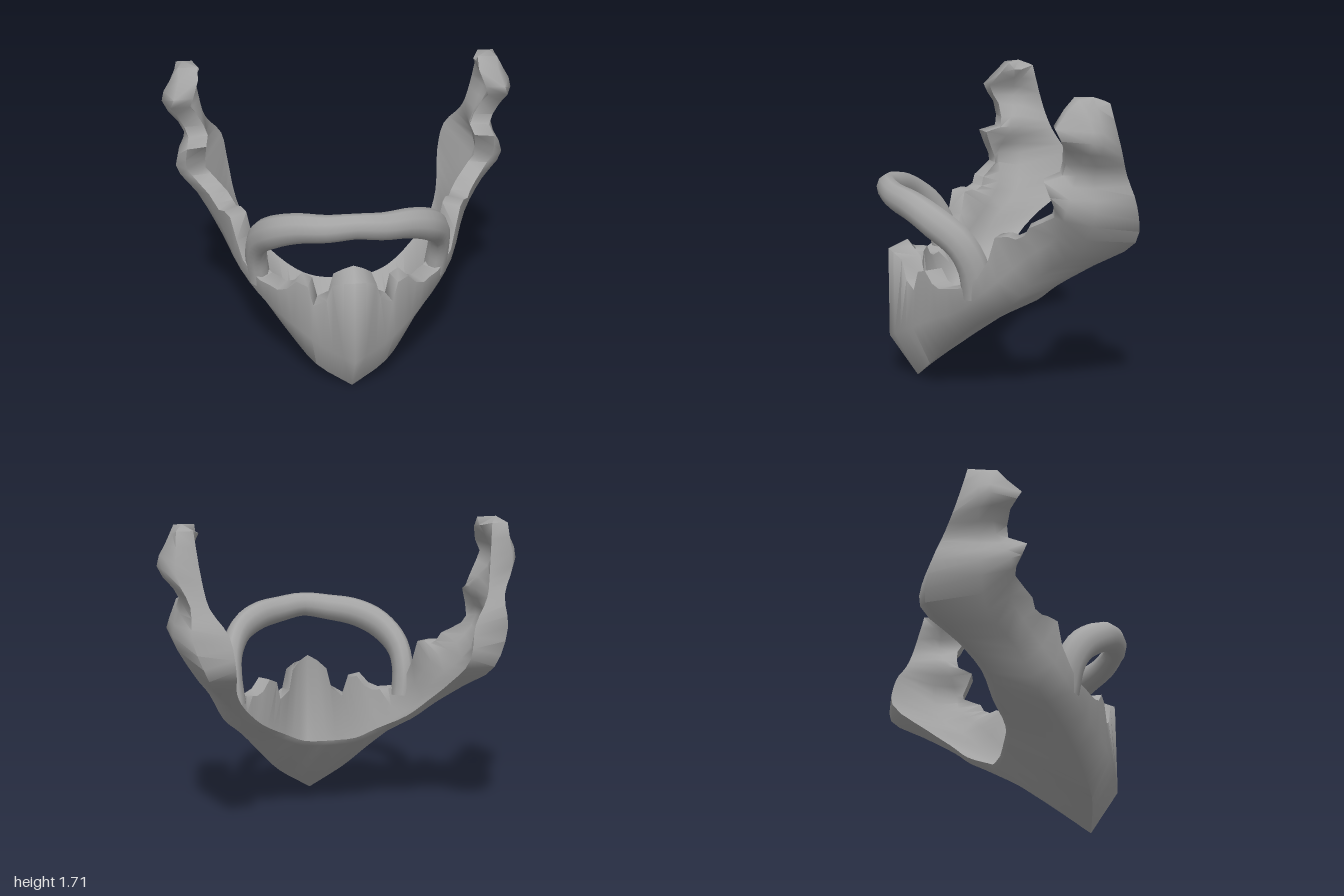
import * as THREE from 'three';
import { toCreasedNormals } from 'three/addons/utils/BufferGeometryUtils.js';

const V = (a) => new THREE.Vector3(...a);
const rail = (pts) => new THREE.CatmullRomCurve3(pts.map(V));

// Jagged upper rim, from the middle of the chin up to the top of the sideburn
const RIM = [
  [0, .76, .59], [.06, .75, .57], [.12, .72, .53], [.15, .61, .51], [.22, .57, .48], [.25, .68, .46],
  [.31, .70, .43], [.36, .64, .40], [.41, .62, .37], [.45, .63, .33], [.50, .64, .29], [.54, .66, .24],
  [.59, .72, .19], [.62, .82, .14], [.65, .95, .11], [.68, .96, .05], [.71, .95, .01], [.73, .97, -.03],
  [.76, 1.02, -.05], [.80, 1.05, -.10], [.85, 1.09, -.16], [.88, 1.13, -.16], [.88, 1.20, -.13], [.87, 1.28, -.10],
  [.86, 1.31, -.20], [.88, 1.37, -.21], [.92, 1.45, -.20], [.95, 1.50, -.17], [.93, 1.56, -.14], [.90, 1.64, -.21],
  [.90, 1.70, -.27],
];
const LAST = RIM.length - 1;

// Lengthwise rails: outer bulge, jaw line, outer and inner neck edge
const bulge = rail([[0, .25, .59], [.18, .33, .52], [.33, .42, .42], [.47, .50, .29], [.60, .64, .16], [.71, .85, -.05],
  [.83, .98, -.18], [.94, 1.14, -.20], [.88, 1.31, -.27], [1, 1.49, -.32], [.92, 1.66, -.31]]);
const jaw = rail([[0, 0, .43], [.20, .13, .39], [.33, .27, .30], [.47, .43, .16], [.60, .56, .01], [.70, .74, -.12],
  [.81, .89, -.30], [.93, 1.12, -.36], [.88, 1.30, -.36], [.98, 1.48, -.38], [.92, 1.66, -.36]]);
const neckOuter = rail([[0, .39, -.07], [.16, .40, -.07], [.29, .45, -.08], [.45, .54, -.17], [.57, .65, -.25], [.68, .78, -.42],
  [.78, .92, -.62], [.86, 1.13, -.60], [.86, 1.30, -.54], [.92, 1.45, -.49], [.91, 1.68, -.43]]);
const neckInner = rail([[0, .42, -.08], [.15, .43, -.09], [.27, .48, -.10], [.42, .57, -.20], [.53, .68, -.28], [.60, .80, -.42],
  [.64, .97, -.63], [.67, 1.15, -.61], [.76, 1.29, -.54], [.79, 1.43, -.49], [.82, 1.68, -.43]]);

// Moves a point of the outer face towards the head, and up
function inset(p, depth, lift) {
  const q = new THREE.Vector3(-p.x, 0, -p.z - .3).setLength(depth).add(p);
  q.y += lift;
  return q;
}

// Cross-section of the beard at station i (negative i is the mirrored side)
function section(i) {
  const k = Math.abs(i), t = k / LAST;
  if (k > LAST) return Array.from({ length: 8 }, () => new THREE.Vector3(Math.sign(i) * .87, 1.71, -.35));
  const rim = V(RIM[k]), m = bulge.getPoint(t), j = jaw.getPoint(t);
  const ring = [
    inset(rim, .11, Math.max(0, .05 - .3 * rim.x)), rim, m, j,
    neckOuter.getPoint(t), neckInner.getPoint(t),
    inset(j, .05 + .09 * t, .05 * (1 - t)), inset(m, .11 + .02 * t, 0),
  ];
  if (i < 0) ring.forEach((p) => { p.x *= -1; });
  return ring;
}

function beardGeometry() {
  const pos = [], idx = [], n = 8, stations = 2 * (LAST + 1);
  for (let s = 0; s <= stations; s++) {
    for (const p of section(s - LAST - 1)) pos.push(p.x, p.y, p.z);
  }
  for (let s = 0; s < stations; s++) {
    for (let j = 0; j < n; j++) {
      const a = s * n + j, d = s * n + (j + 1) % n, b = a + n, c = d + n;
      // mirror the diagonals along with the sides
      if (s <= LAST) idx.push(a, d, c, a, c, b);
      else idx.push(a, d, b, d, c, b);
    }
  }
  const g = new THREE.BufferGeometry();
  g.setAttribute('position', new THREE.Float32BufferAttribute(pos, 3));
  g.setIndex(idx);
  return toCreasedNormals(g, 1.3);
}

// Arched tube, thin under the nose, tall and flat where it sweeps down into the beard
function moustacheGeometry() {
  const half = [[.50, .60, .17], [.515, .76, .20], [.50, .89, .27], [.42, 1.0, .40], [.30, 1.06, .49], [.15, 1.085, .56]];
  const path = rail([...half, [0, 1.105, .585], ...half.map(([x, y, z]) => [-x, y, z]).reverse()]);
  const steps = 40, sides = 10;
  const g = new THREE.TubeGeometry(path, steps, .07, sides);
  const p = g.attributes.position, v = new THREE.Vector3();
  for (let i = 0; i < p.count; i++) {
    const u = Math.floor(i / (sides + 1)) / steps;
    const s = Math.min(1, 2 * Math.abs(2 * u - 1));
    const c = path.getPointAt(u);
    v.fromBufferAttribute(p, i).sub(c).multiply(new THREE.Vector3(.88, 1 + .3 * s, .85 + .4 * s)).add(c);
    p.setXYZ(i, v.x, v.y, v.z);
  }
  return toCreasedNormals(g, 1.3);
}

export function createModel() {
  const hair = new THREE.MeshStandardMaterial({ color: 0xa4a4a4, side: THREE.DoubleSide });
  hair.name = 'greyHair';
  const group = new THREE.Group();
  group.name = 'beardAndMoustache';
  const add = (name, geometry) => {
    const mesh = new THREE.Mesh(geometry, hair);
    mesh.name = name;
    group.add(mesh);
  };
  add('beard', beardGeometry());
  add('moustache', moustacheGeometry());
  return group;
}
